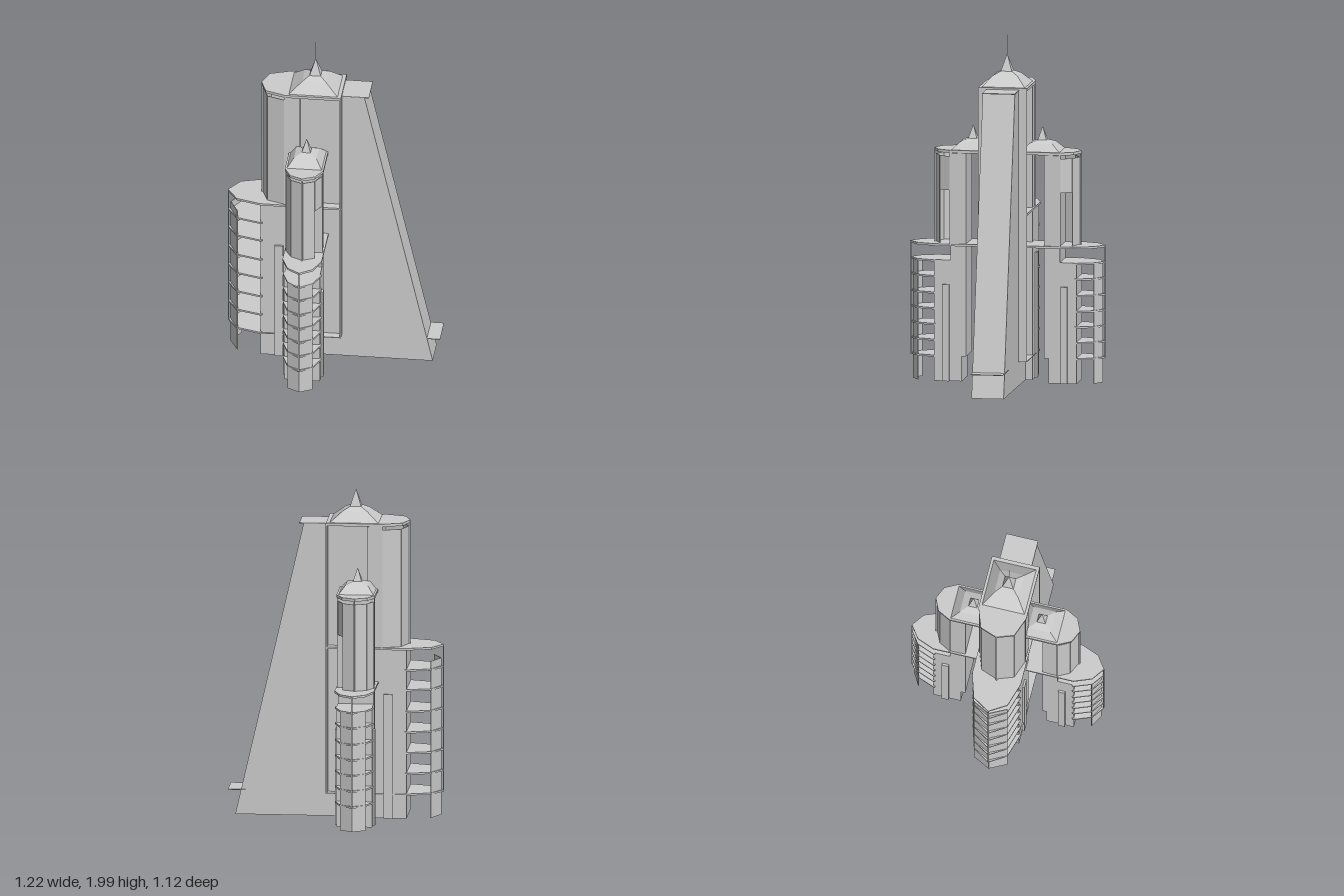
import * as THREE from 'three';

const mat = new THREE.MeshStandardMaterial({ color: 0xcccccc, flatShading: true, side: THREE.DoubleSide });

function add(parent, name, geo, x = 0, y = 0, z = 0) {
  const m = new THREE.Mesh(geo, mat);
  m.name = name;
  m.position.set(x, y, z);
  parent.add(m);
  return m;
}

// Box given by its limits on each axis
function block(parent, name, x0, x1, y0, y1, z0, z1) {
  return add(parent, name, new THREE.BoxGeometry(x1 - x0, y1 - y0, z1 - z0),
    (x0 + x1) / 2, (y0 + y1) / 2, (z0 + z1) / 2);
}

// Thin upright panel between two plan points [x, z]
function panel(parent, name, a, b, y0, y1) {
  const dx = b[0] - a[0], dz = b[1] - a[1];
  const m = add(parent, name, new THREE.BoxGeometry(Math.hypot(dx, dz), y1 - y0, 0.004),
    (a[0] + b[0]) / 2, (y0 + y1) / 2, (a[1] + b[1]) / 2);
  m.rotation.y = -Math.atan2(dz, dx);
}

// Horizontal plate with a faceted bow; its top lies at y
function plate(parent, name, pts, y, t) {
  const shape = new THREE.Shape(pts.map(p => new THREE.Vector2(p[0], p[1])));
  const geo = new THREE.ExtrudeGeometry(shape, { depth: t, bevelEnabled: false });
  geo.rotateX(Math.PI / 2);
  add(parent, name, geo, 0, y, 0);
}

// Four-sided frustum with half sizes at bottom (bx, bz) and top (tx, tz)
function frustum(parent, name, bx, bz, tx, tz, y0, y1, z) {
  const geo = new THREE.CylinderGeometry(1, 1, y1 - y0, 4, 1).rotateY(Math.PI / 4);
  const p = geo.attributes.position;
  for (let i = 0; i < p.count; i++) {
    const top = p.getY(i) > 0;
    p.setX(i, p.getX(i) * Math.SQRT2 * (top ? tx : bx));
    p.setZ(i, p.getZ(i) * Math.SQRT2 * (top ? tz : bz));
  }
  geo.computeVertexNormals();
  add(parent, name, geo, 0, (y0 + y1) / 2, z);
}

// Plan of a bow: straight back edge, then side, shoulder and tip
const bow = (w, back, start, mid, tip, k) => [
  [-w, back], [w, back], [w, start], [w * k, mid], [0, tip], [-w * k, mid], [-w, start],
];

// Stepped tower facing local +z
function tower(name, t) {
  const g = new THREE.Group();
  g.name = name;
  const { w, k, back, end, up, low, floors, ledge, roof } = t;
  const floor = floors[floors.length - 1], b = w - 0.008;

  // Core and lower body
  block(g, 'upperBody', -b, b, t.base, roof - 0.012, end, up[0]);
  block(g, 'lowerBody', -b, b, t.base, t.bodyTop, up[0], low[0]);
  for (const s of [-1, 1]) {
    const x = s * (b + 0.005);
    block(g, 'buttress', x - 0.007, x + 0.007, t.base, t.buttress[2], t.buttress[0], t.buttress[1]);
  }

  // Lower bow: walls, floor plates and mullion
  const li = 0.016;
  for (const s of [-1, 1]) {
    panel(g, 'lowerBowWall', [s * (w * k), low[1] - 0.004], [0, low[2] - li], t.base, t.wallTop);
  }
  for (const y of floors) {
    plate(g, 'floorPlate', bow(w, low[0] - 0.01, ...low, k), y + 0.005, 0.01);
  }
  block(g, 'lowerMullion', -0.004, 0.004, floor, ledge, low[2] - 0.006, low[2]);

  // Ledge between the tiers
  plate(g, 'ledge', bow(w + 0.002, back, ...low, k), ledge + 0.005, 0.012);

  // Upper bow: walls and corner posts
  const ui = 0.01;
  for (const s of [-1, 1]) {
    const shoulder = [s * (w * k - 0.004), up[1] - ui], corner = [s * b, up[0]];
    panel(g, 'upperBowWall', shoulder, [0, up[2] - ui], ledge, roof - 0.03);
    panel(g, 'upperBowSide', corner, shoulder, s === t.openSide ? t.sideBottom : ledge, roof - 0.03);
    block(g, 'upperPost', s * b - 0.004, s * b + 0.004, ledge, roof, up[0] - 0.004, up[0] + 0.004);
  }
  block(g, 'upperMullion', -0.004, 0.004, ledge, roof, up[2] - 0.008, up[2]);

  // Roof: eaves, two slopes and a spike
  const c = t.roofZ, [rx, rz, tx, tz] = t.roofSize, [y1, y2, y3] = t.roofY;
  plate(g, 'eaves', bow(w, back, ...up, k), roof + 0.006, 0.016);
  frustum(g, 'roofSlope', rx, rz, tx, tz, roof + 0.005, y1, c);
  frustum(g, 'roofCap', tx, tz, t.spike, t.spike, y1, y2, c);
  frustum(g, 'spike', t.spike, t.spike, 0.001, 0.001, y2, y3, c);
  return g;
}

export function createModel() {
  const model = new THREE.Group();
  model.name = 'towerBuilding';

  // Main tower, its bow facing -x
  const main = tower('mainTower', {
    w: 0.14, k: 0.7, back: -0.05, end: 0.185, up: [0.27, 0.385, 0.42], low: [0.41, 0.55, 0.612],
    floors: [0.87, 0.755, 0.63, 0.51, 0.39, 0.27, 0.15], base: 0.01, bodyTop: 0.99, wallTop: 0.92,
    buttress: [0.28, 0.33, 0.73], ledge: 0.995, roof: 1.712, openSide: 0, sideBottom: 1,
    roofZ: 0.11, roofSize: [0.125, 0.14, 0.07, 0.07], roofY: [1.775, 1.795, 1.89], spike: 0.032,
  });
  main.rotation.y = -Math.PI / 2;
  for (const s of [-1, 1]) {
    const x = s * 0.115;
    block(main, 'rearPost', x - 0.025, x + 0.025, 0.15, 1.705, -0.05, -0.042);
  }
  plate(main, 'basePlate', [[-0.14, -0.05], [0.14, -0.05], [0.14, 0.4], [-0.14, 0.4]], 0.152, 0.004);
  block(main, 'needle', -0.001, 0.001, 1.88, 2, 0.109, 0.111);
  model.add(main);

  // Two side towers facing front and back
  for (const s of [1, -1]) {
    const wing = tower(s > 0 ? 'frontTower' : 'backTower', {
      w: 0.11, k: 0.65, back: 0.075, end: 0.25, up: [0.315, 0.39, 0.422], low: [0.41, 0.51, 0.562],
      floors: [0.705, 0.615, 0.52, 0.43, 0.34, 0.25, 0.158], base: 0.015, bodyTop: 0.71, wallTop: 0.71,
      buttress: [0.32, 0.36, 0.57], ledge: 0.798, roof: 1.335, openSide: s, sideBottom: 1.11,
      roofZ: 0.2, roofSize: [0.1, 0.112, 0.065, 0.065], roofY: [1.385, 1.4, 1.475], spike: 0.025,
    });
    block(wing, 'rearPier', -0.1, 0.1, 0.158, 1.33, 0.225, 0.25);
    wing.rotation.y = s > 0 ? 0 : Math.PI;
    wing.position.x = -0.138;
    model.add(wing);
  }

  // Sloping fin with its top and base plates
  const side = new THREE.Shape([[-0.2, 0.01], [0.57, 0.01], [0.18, 1.705], [-0.2, 1.705]]
    .map(p => new THREE.Vector2(...p)));
  add(model, 'fin', new THREE.ExtrudeGeometry(side, { depth: 0.185, bevelEnabled: false }), 0, 0, -0.0925);
  block(model, 'finTopPlate', -0.2, 0.205, 1.704, 1.708, -0.095, 0.092);
  block(model, 'finBasePlate', 0.4, 0.612, 0.15, 0.154, -0.095, 0.092);

  return model;
}
